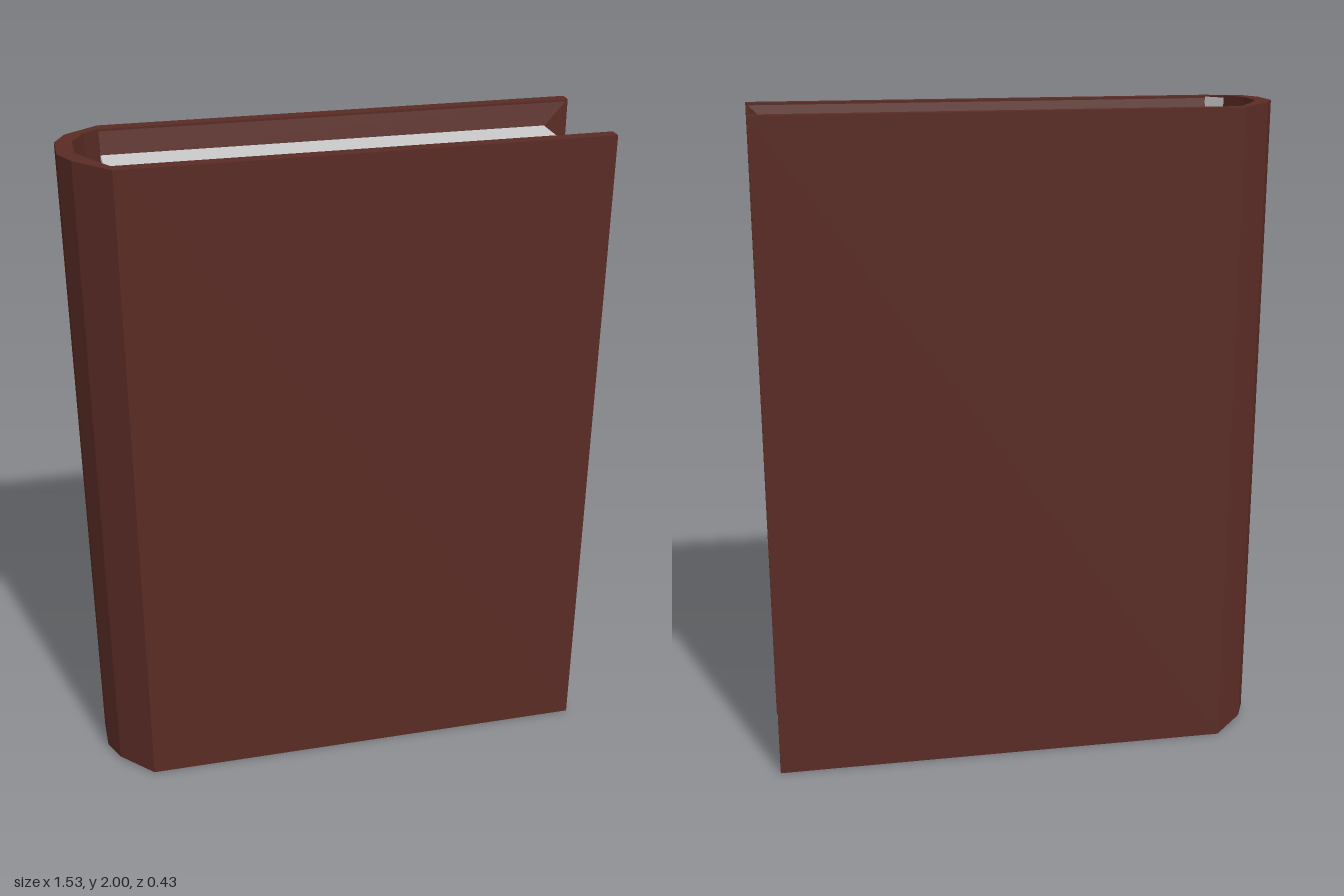
import * as THREE from 'three';

export function createModel() {
  const book = new THREE.Group();
  const leather = new THREE.MeshStandardMaterial({ color: 0x5a2c25, flatShading: true });
  const paper = new THREE.MeshStandardMaterial({ color: 0xcccccc, flatShading: true });

  const add = (name, geometry, material) => {
    const mesh = new THREE.Mesh(geometry, material);
    mesh.name = name;
    book.add(mesh);
    return mesh;
  };

  // Wrap-around cover: outer and inner half outlines (x, z), mirrored about z = 0
  const mirrored = (half) => [...half, ...half.map(([x, z]) => [x, -z]).reverse()];
  const outer = mirrored([[0.765, 0.213], [-0.637, 0.213], [-0.735, 0.125], [-0.768, 0.055]]);
  const inner = mirrored([[0.765, 0.175], [-0.637, 0.175], [-0.682, 0.125], [-0.72, 0.052]]).reverse();
  const outline = new THREE.Shape([...outer, ...inner].map(([x, z]) => new THREE.Vector2(x, z)));
  const coverGeometry = new THREE.ExtrudeGeometry(outline, { depth: 2, bevelEnabled: false });
  coverGeometry.rotateX(-Math.PI / 2);

  // The spine sits a hair higher than the boards
  const p = coverGeometry.attributes.position;
  for (let i = 0; i < p.count; i++) {
    const spine = p.getX(i) < -0.66;
    p.setY(i, p.getY(i) > 1 ? (spine ? 2 : 1.995) : (spine ? 0.012 : 0));
  }
  coverGeometry.computeVertexNormals();
  add('cover', coverGeometry, leather);

  // Inner board faces, bevelled inward to meet the page block
  for (const side of [1, -1]) {
    const g = new THREE.BoxGeometry(1, 1, 1);
    const q = g.attributes.position;
    for (let i = 0; i < q.count; i++) {
      const atPages = q.getZ(i) * side < 0;
      const x = q.getX(i) < 0 ? -0.637 : atPages ? 0.69 : 0.764;
      const y = q.getY(i) < 0 ? (atPages ? 0.08 : 0.001) : (atPages ? 1.92 : 1.994);
      q.setXYZ(i, x, y, side * (atPages ? 0.163 : 0.176));
    }
    g.computeVertexNormals();
    add(side > 0 ? 'frontBoardLining' : 'backBoardLining', g, leather);
  }

  // Page block
  const pages = add('pages', new THREE.BoxGeometry(1.327, 1.845, 0.328), paper);
  pages.position.set(0.0265, 1, 0);

  // Paper strip on the front inner facet of the spine
  const stripMaterial = paper.clone();
  stripMaterial.side = THREE.DoubleSide;
  const strip = add('spinePaperStrip', new THREE.PlaneGeometry(0.066, 1.98), stripMaterial);
  strip.position.set(-0.6575, 1.003, 0.148);
  strip.rotation.y = Math.atan2(0.05, -0.045);

  return book;
}
